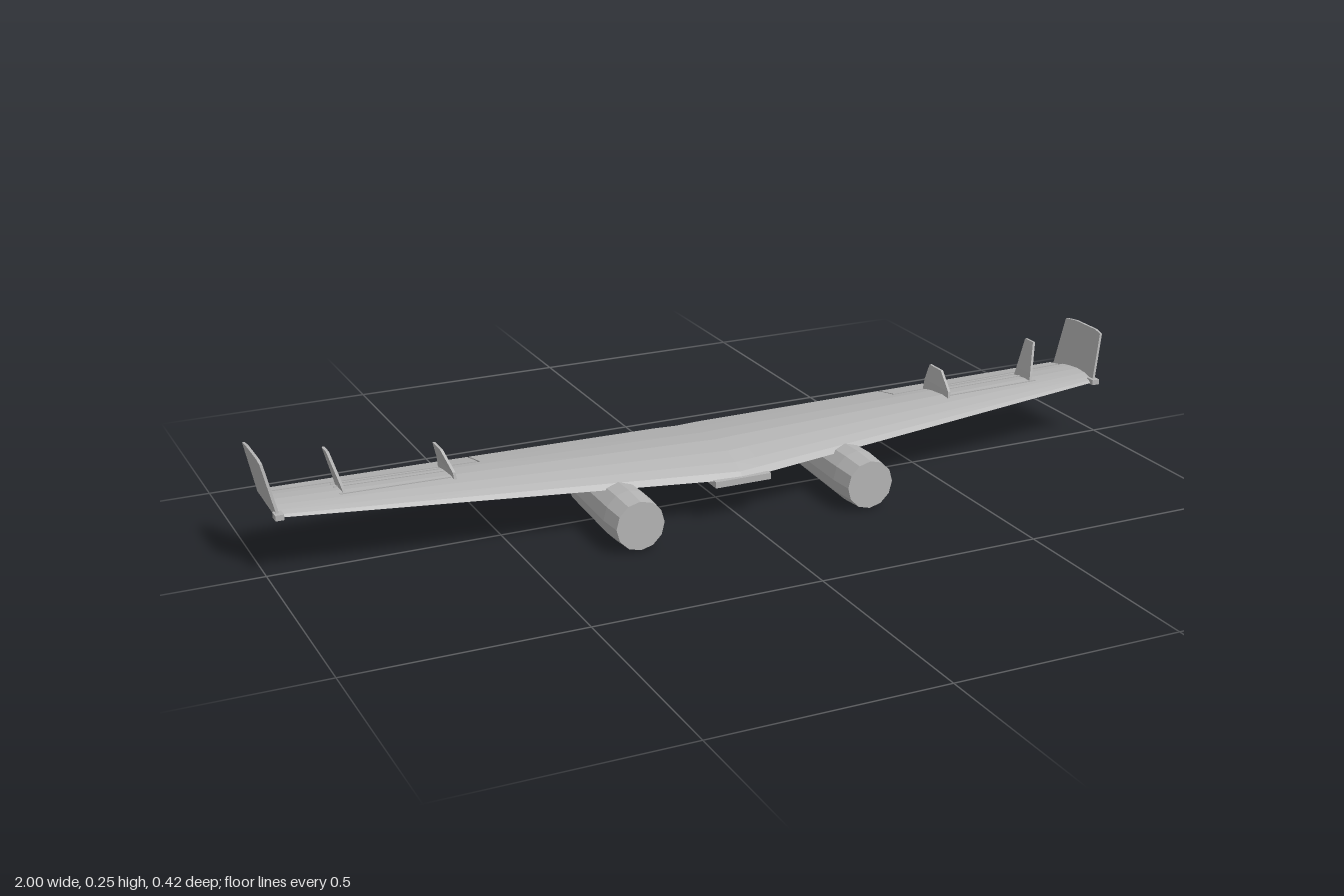
import * as THREE from 'three';

const metal = new THREE.MeshStandardMaterial({ color: 0xb4b4b4, flatShading: true });
metal.name = 'light grey metal';

// Skin between rings of equal point count, with end caps; side -1 mirrors in x
function loft(name, rings, side = 1) {
  const n = rings[0].length, pos = [], idx = [];
  rings.forEach(r => r.forEach(([x, y, z]) => pos.push(x * side, y, z)));
  const tri = (a, b, c) => (side > 0 ? idx.push(a, b, c) : idx.push(a, c, b));
  for (let r = 0; r < rings.length - 1; r++) {
    for (let i = 0; i < n; i++) {
      const a = r * n + i, b = r * n + (i + 1) % n, c = b + n, d = a + n;
      tri(a, d, b);
      tri(b, d, c);
    }
  }
  const last = (rings.length - 1) * n;
  for (let i = 1; i < n - 1; i++) {
    tri(0, i, i + 1);
    tri(last, last + i + 1, last + i);
  }
  let g = new THREE.BufferGeometry();
  g.setAttribute('position', new THREE.Float32BufferAttribute(pos, 3));
  g.setIndex(idx);
  g = g.toNonIndexed();
  g.computeVertexNormals();
  const m = new THREE.Mesh(g, metal);
  m.name = name;
  return m;
}

// Aerofoil outline: [chord fraction, height above the chord line]
const UPPER = [[0, -0.006], [0.03, 0.008], [0.1, 0.021], [0.22, 0.033], [0.4, 0.038], [0.6, 0.031], [0.8, 0.017], [1, 0.002]];
const LOWER = [[0, -0.006], [0.05, -0.012], [0.2, -0.014], [0.45, -0.012], [0.75, -0.007], [1, -0.002]];
function height(table, f) {
  for (let i = 1; i < table.length; i++) {
    const [f0, h0] = table[i - 1], [f1, h1] = table[i];
    if (f <= f1) return h0 + (h1 - h0) * (f - f0) / (f1 - f0);
  }
  return table[table.length - 1][1];
}
const leading = x => 0.135 - 0.114 * Math.abs(x);
const trailing = x => -0.21 + 0.076 * Math.max(0, Math.abs(x) - 0.05);
const lift = x => 0.096 + 0.039 * Math.abs(x);
const slim = x => 1 - 0.66 * Math.abs(x);
const point = (x, f, table) => [x, lift(x) + slim(x) * height(table, f), leading(x) + (trailing(x) - leading(x)) * f];
const fraction = (x, z) => (leading(x) - z) / (leading(x) - trailing(x));
const topAt = (x, z) => point(x, fraction(x, z), UPPER)[1];

// Wing cross-section at x, limited to a range of the chord
function section(x, f0 = 0, f1 = 1) {
  const cut = (table) => [f0 + 1e-4, ...table.map(p => p[0]).filter(f => f > 0 && f < 1)
    .map(f => Math.min(f1, Math.max(f0, f))), f1].map(f => point(x, f, table));
  return [...cut(UPPER), ...cut(LOWER).reverse()];
}

// Upright thin plate; each level is [x, y, rear z, front z]
function fin(name, levels, side, thick = 0.006) {
  const t = thick / 2;
  return loft(name, levels.map(([x, y, r, f]) =>
    [[x - t, y, r], [x + t, y, r], [x + t, y, f], [x - t, y, f]]), side);
}

function box(name, w, h, d, x, y, z) {
  const m = new THREE.Mesh(new THREE.BoxGeometry(w, h, d), metal);
  m.position.set(x, y, z);
  m.name = name;
  return m;
}

export function createModel() {
  const model = new THREE.Group();
  model.name = 'flyingWing';

  // Centre wing and small lip on its nose
  model.add(loft('centreWing', [-0.505, -0.27, -0.05, 0, 0.05, 0.27, 0.505].map(x => section(x))));
  model.add(box('noseLip', 0.13, 0.014, 0.06, 0, 0.088, 0.11));

  for (const side of [1, -1]) {
    const label = side > 0 ? 'left' : 'right';
    const half = new THREE.Group();
    half.name = label + 'Side';
    model.add(half);

    // Outer wing with a separate aileron behind a narrow gap
    const span = [0.505, 0.74, 0.975];
    half.add(loft('outerWing', span.map(x => section(x, 0, fraction(x, -0.1))), side));
    half.add(loft('aileron', [0.509, 0.74, 0.962].map(x => section(x, fraction(x, -0.108), 1)), side));

    // Canted winglet and tip pod
    half.add(fin('winglet', [
      [0.971, 0.13, -0.137, 0.025],
      [0.996, 0.244, -0.13, 0.01],
      [0.997, 0.249, -0.09, -0.01],
    ], side));
    half.add(box('tipPod', 0.018, 0.012, 0.024, side * 0.972, 0.135, 0.023));

    // Two fences standing on the outer wing
    half.add(fin('innerFence', [
      [0.592, 0.128, -0.112, 0],
      [0.595, 0.155, -0.11, -0.005],
      [0.604, 0.19, -0.105, -0.055],
    ], side));
    half.add(fin('outerFence', [
      [0.822, 0.136, -0.082, -0.015],
      [0.828, 0.16, -0.08, -0.022],
      [0.847, 0.228, -0.078, -0.045],
    ], side));

    // Raised strips between the fences
    for (const z of [-0.085, -0.06, -0.015]) {
      const strip = [0.6, 0.835].map(x => {
        const y = topAt(x, z);
        return [[x, y - 0.003, z + 0.002], [x, y + 0.002, z + 0.002],
          [x, y + 0.002, z - 0.002], [x, y - 0.003, z - 0.002]];
      });
      half.add(loft('wingStrip', strip, side));
    }

    // Engine nacelle under the wing
    const profile = [[0, -0.16], [0.021, -0.16], [0.051, -0.06], [0.058, 0.15], [0.054, 0.21], [0, 0.21]];
    const g = new THREE.LatheGeometry(profile.map(p => new THREE.Vector2(...p)), 12);
    g.rotateX(Math.PI / 2);
    const nacelle = new THREE.Mesh(g, metal);
    nacelle.position.set(side * 0.27, 0.058, 0);
    nacelle.name = 'engineNacelle';
    half.add(nacelle);
  }
  return model;
}
